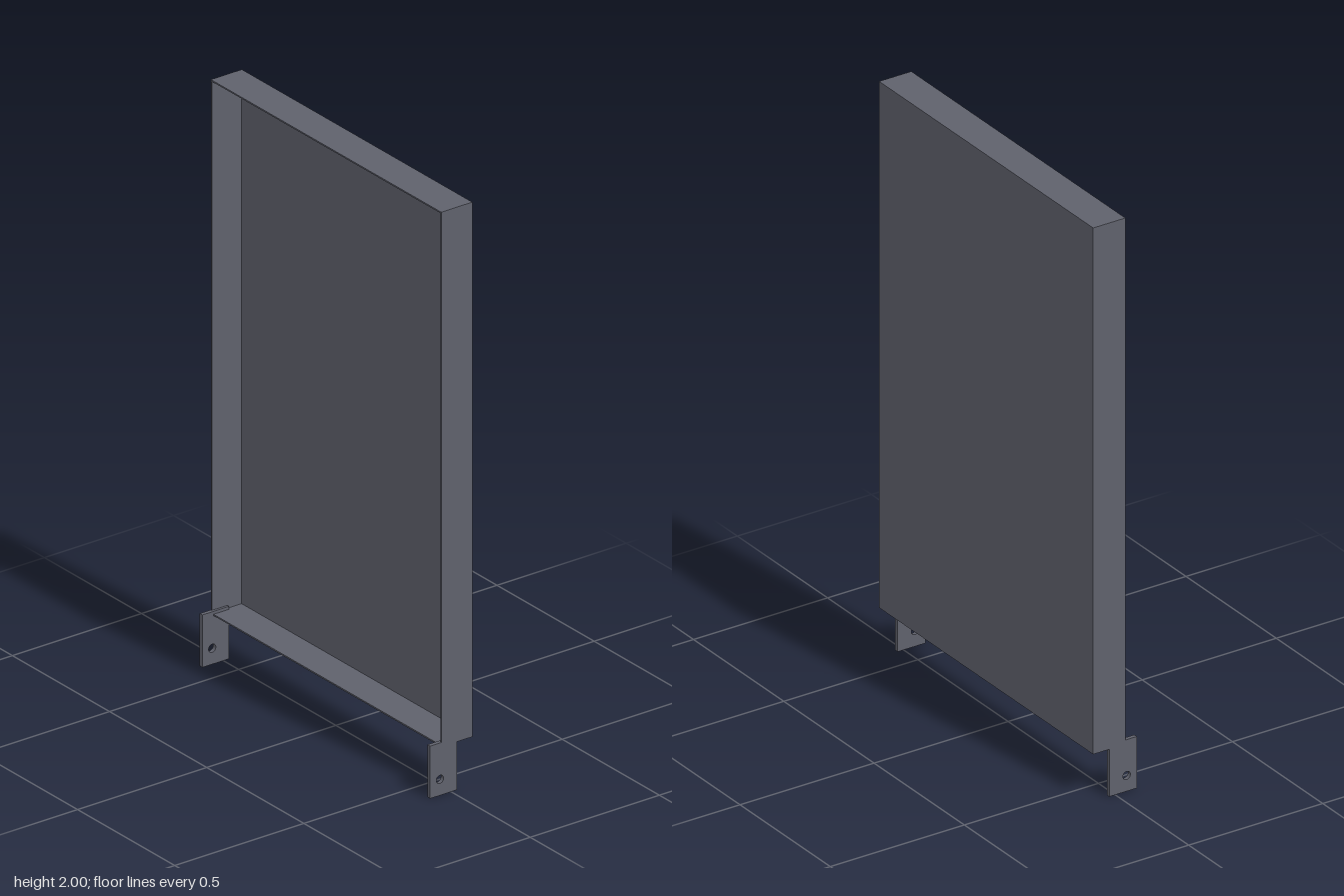
import * as THREE from 'three';

const W = 0.593, TOP = 2, BOTTOM = 0.165; // half width, panel top and bottom
const BACK = -0.082, FRONT = 0.038, T = 0.005; // panel depth range, sheet thickness
const TAB_T = 0.014;

export function createModel() {
  const group = new THREE.Group();
  const metal = new THREE.MeshStandardMaterial({ color: 0x5f616c });
  metal.name = 'slate grey metal';

  // Box given by its minimum and maximum corners
  const box = (name, a, b) => {
    const mesh = new THREE.Mesh(new THREE.BoxGeometry(b[0] - a[0], b[1] - a[1], b[2] - a[2]), metal);
    mesh.position.set((a[0] + b[0]) / 2, (a[1] + b[1]) / 2, (a[2] + b[2]) / 2);
    mesh.name = name;
    group.add(mesh);
  };

  // Sheet panel with flanges folded forward on all four edges
  box('backPanel', [-W, BOTTOM, BACK], [W, TOP, BACK + T]);
  box('topFlange', [-W, TOP - T, BACK + T], [W, TOP, FRONT]);
  box('bottomFlange', [-W, BOTTOM, BACK + T], [W, BOTTOM + T, FRONT]);
  box('rightFlange', [-W, BOTTOM + T, BACK + T], [-W + T, TOP - T, FRONT]);
  box('leftFlange', [W - T, BOTTOM + T, BACK + T], [W, TOP - T, FRONT]);

  // Mounting tabs with a bolt hole; shape x runs along -z after turning
  const shape = new THREE.Shape([[-0.081, 0], [0.022, 0], [0.022, 0.18], [-0.081, 0.18]]
    .map(([x, y]) => new THREE.Vector2(x, y)));
  const hole = new THREE.Path();
  hole.absarc(-0.043, 0.055, 0.014, 0, Math.PI * 2, true);
  shape.holes.push(hole);
  const tabGeometry = new THREE.ExtrudeGeometry(shape, { depth: TAB_T, bevelEnabled: false, curveSegments: 16 });
  tabGeometry.rotateY(Math.PI / 2);
  for (const [name, x] of [['rightMountingTab', -W], ['leftMountingTab', W - TAB_T]]) {
    const tab = new THREE.Mesh(tabGeometry, metal);
    tab.position.x = x;
    tab.name = name;
    group.add(tab);
  }
  return group;
}
